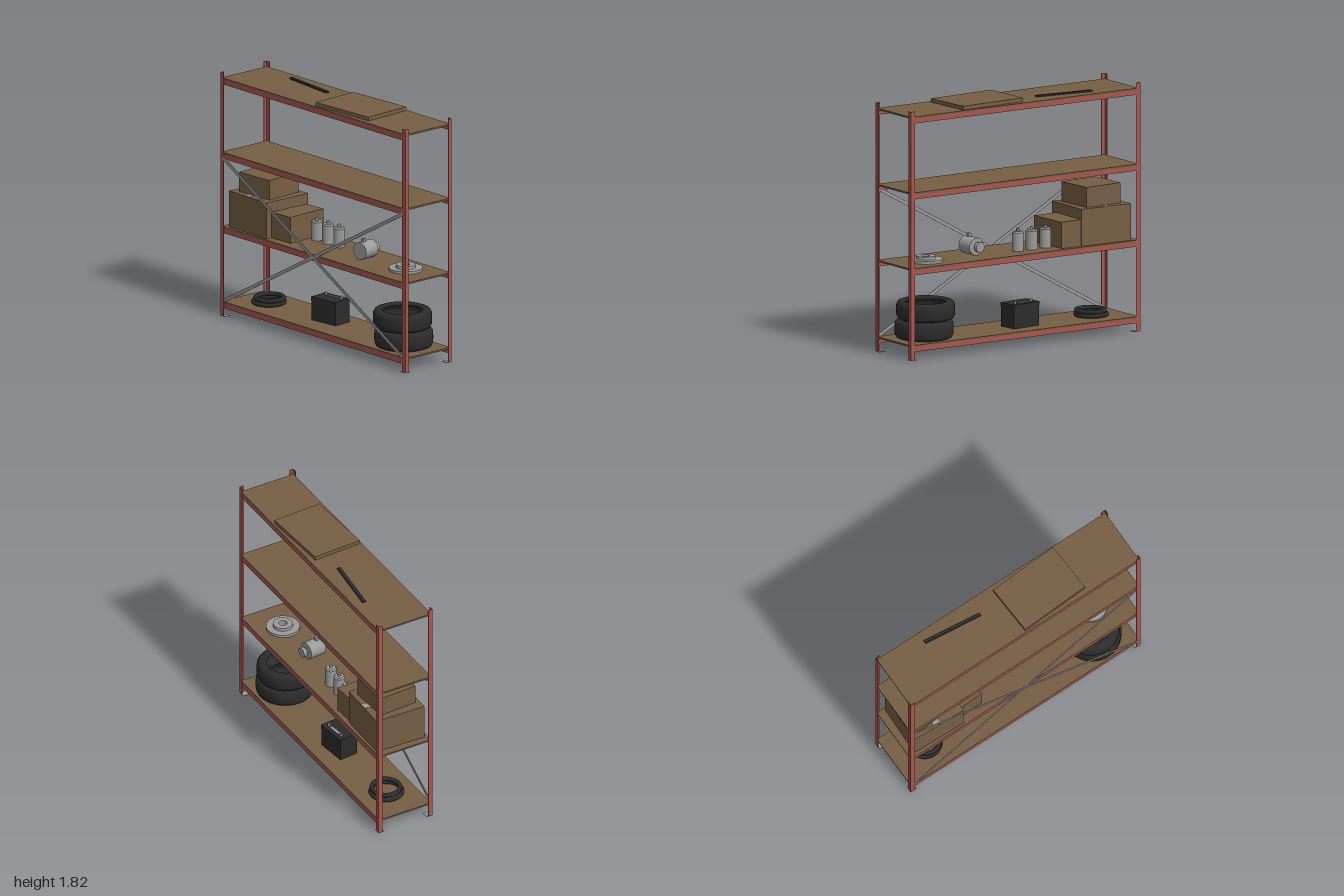
import * as THREE from 'three';

const mat = (name, color, side = THREE.FrontSide) => {
  const m = new THREE.MeshStandardMaterial({ color, side });
  m.name = name;
  return m;
};

export function createModel() {
  const root = new THREE.Group();
  root.name = 'storageRack';
  const red = mat('redSteel', 0xa9564f);
  const brown = mat('brownBoard', 0x775f45);
  const rubber = mat('blackRubber', 0x2c2c2d);
  const metal = mat('greyMetal', 0x9b9b9b);

  const add = (name, geo, m, x, y, z, yaw = 0, parent = root) => {
    const mesh = new THREE.Mesh(geo, m);
    mesh.name = name;
    mesh.position.set(x, y, z);
    mesh.rotation.y = yaw;
    parent.add(mesh);
    return mesh;
  };
  const box = (name, m, w, h, d, x, y, z, yaw, parent) =>
    add(name, new THREE.BoxGeometry(w, h, d), m, x, y, z, yaw, parent);
  const cyl = (name, m, r, h, x, y, z, parent, rTop = r) =>
    add(name, new THREE.CylinderGeometry(rTop, r, h, 32), m, x, y, z, 0, parent);
  const group = (name, x, y, z, yaw = 0) => {
    const g = new THREE.Group();
    g.name = name;
    g.position.set(x, y, z);
    g.rotation.y = yaw;
    root.add(g);
    return g;
  };

  // Corner posts: angle sections standing on foot plates
  for (const sx of [-1, 1]) for (const sz of [-1, 1]) {
    const s = new THREE.Shape();
    const p = [[0, 0], [-0.032, 0], [-0.032, -0.005], [-0.005, -0.005], [-0.005, -0.036], [0, -0.036]]
      .map(([x, z]) => new THREE.Vector2(sx * (0.223 + x), -sz * (1 + z)));
    s.setFromPoints(p);
    const geo = new THREE.ExtrudeGeometry(s, { depth: 1.817, bevelEnabled: false });
    geo.rotateX(-Math.PI / 2);
    add('post', geo, red, 0, 0.003, 0);
    box('footPlate', metal, 0.046, 0.005, 0.05, sx * 0.2, 0.0025, sz * 0.973);
  }

  // Shelves: board on two angle beams
  for (const top of [0.11, 0.67, 1.225, 1.78]) {
    box('shelfBoard', brown, 0.434, 0.012, 1.986, 0, top - 0.006, 0);
    for (const sx of [-1, 1]) {
      box('shelfBeam', red, 0.005, 0.036, 1.985, sx * 0.2145, top - 0.03, 0);
      box('beamFlange', red, 0.025, 0.004, 1.985, sx * 0.2, top - 0.014, 0);
    }
  }

  // Cross braces along the back side
  const braceLength = Math.hypot(1.94, 1.07);
  for (const s of [-1, 1]) {
    const brace = box('crossBrace', metal, 0.004, 0.025, braceLength, -0.221 - s * 0.002, 0.65, 0);
    brace.rotation.x = s * Math.atan2(1.07, 1.94);
  }

  // Dark half-round plate under the second shelf
  add('underPlate', new THREE.CylinderGeometry(0.2, 0.2, 0.003, 32, 1, false, 0, Math.PI).scale(0.7, 1, 1),
    rubber, -0.21, 0.655, 0);

  // Stacked tyres
  const tyreProfile = [[0.14, 0.014], [0.152, 0.002], [0.18, 0], [0.2, 0.008], [0.211, 0.028],
    [0.213, 0.068], [0.211, 0.108], [0.2, 0.128], [0.18, 0.136], [0.152, 0.134], [0.14, 0.122],
    [0.152, 0.112], [0.185, 0.1], [0.19, 0.068], [0.185, 0.036], [0.152, 0.024], [0.14, 0.014]]
    .map(([r, y]) => new THREE.Vector2(r, y));
  const tyreGeo = new THREE.LatheGeometry(tyreProfile, 48);
  add('tyre', tyreGeo, rubber, 0, 0.11, 0.732);
  add('tyre', tyreGeo, rubber, 0, 0.247, 0.718);

  // Battery
  const battery = group('battery', 0.025, 0.11, -0.088, 0.1);
  box('batteryCase', rubber, 0.145, 0.145, 0.234, 0, 0.0725, 0, 0, battery);
  box('batteryLid', rubber, 0.149, 0.03, 0.238, 0, 0.16, 0, 0, battery);
  for (const s of [-1, 1]) cyl('terminal', metal, 0.01, 0.018, 0.035, 0.184, s * 0.075, battery);
  box('batteryStrip', metal, 0.02, 0.004, 0.1, 0.035, 0.177, 0, 0, battery);

  // Rubber rings
  for (const [r, y, z] of [[0.112, 0.126, -0.725], [0.101, 0.155, -0.717]]) {
    const ring = new THREE.TorusGeometry(r, 0.016, 12, 48).rotateX(Math.PI / 2);
    add('rubberRing', ring, rubber, 0, y, z);
  }

  // Brake disc with raised hub and open centre
  const disc = [[0.03, 0], [0.122, 0], [0.122, 0.02], [0.072, 0.02], [0.07, 0.042], [0.03, 0.042], [0.03, 0]];
  const discPoints = disc.flatMap(([r, y]) => [new THREE.Vector2(r, y), new THREE.Vector2(r, y)]);
  add('brakeDisc', new THREE.LatheGeometry(discPoints, 48), metal, 0.02, 0.67, 0.73);

  // Small motor lying on its side
  const motor = group('motor', 0.0, 0.738, 0.322, 0.08);
  const lying = (name, r, h, x) => { cyl(name, metal, r, h, x, 0, 0, motor).rotation.z = Math.PI / 2; };
  lying('motorBody', 0.064, 0.125, 0);
  lying('motorShaft', 0.018, 0.05, 0.075);
  lying('motorPulley', 0.038, 0.026, 0.094);
  box('motorTerminal', metal, 0.028, 0.03, 0.025, -0.025, 0.072, 0, 0, motor);

  // Spray cans
  for (const z of [-0.04, -0.16, -0.28]) {
    const can = group('can', 0.065, 0.67, z);
    cyl('canBody', metal, 0.042, 0.135, 0, 0.0675, 0, can);
    cyl('canShoulder', metal, 0.042, 0.01, 0, 0.14, 0, can, 0.034);
    cyl('canNozzle', metal, 0.011, 0.022, 0, 0.155, 0, can);
  }

  // Cardboard boxes
  box('smallBox', brown, 0.33, 0.193, 0.2, 0.015, 0.767, -0.435, 0.04);
  box('largeBox', brown, 0.39, 0.27, 0.42, 0, 0.805, -0.728, -0.03);
  box('upperBox', brown, 0.295, 0.147, 0.308, 0, 1.0145, -0.725, 0.05);
  box('boxTape', metal, 0.388, 0.003, 0.05, 0, 0.941, -0.737, -0.03);

  // Items on the top shelf
  box('flatPanel', brown, 0.381, 0.028, 0.54, 0, 1.795, 0.27, 0.05);
  box('blackBar', rubber, 0.026, 0.012, 0.452, 0.108, 1.787, -0.411, -0.11);

  return root;
}
